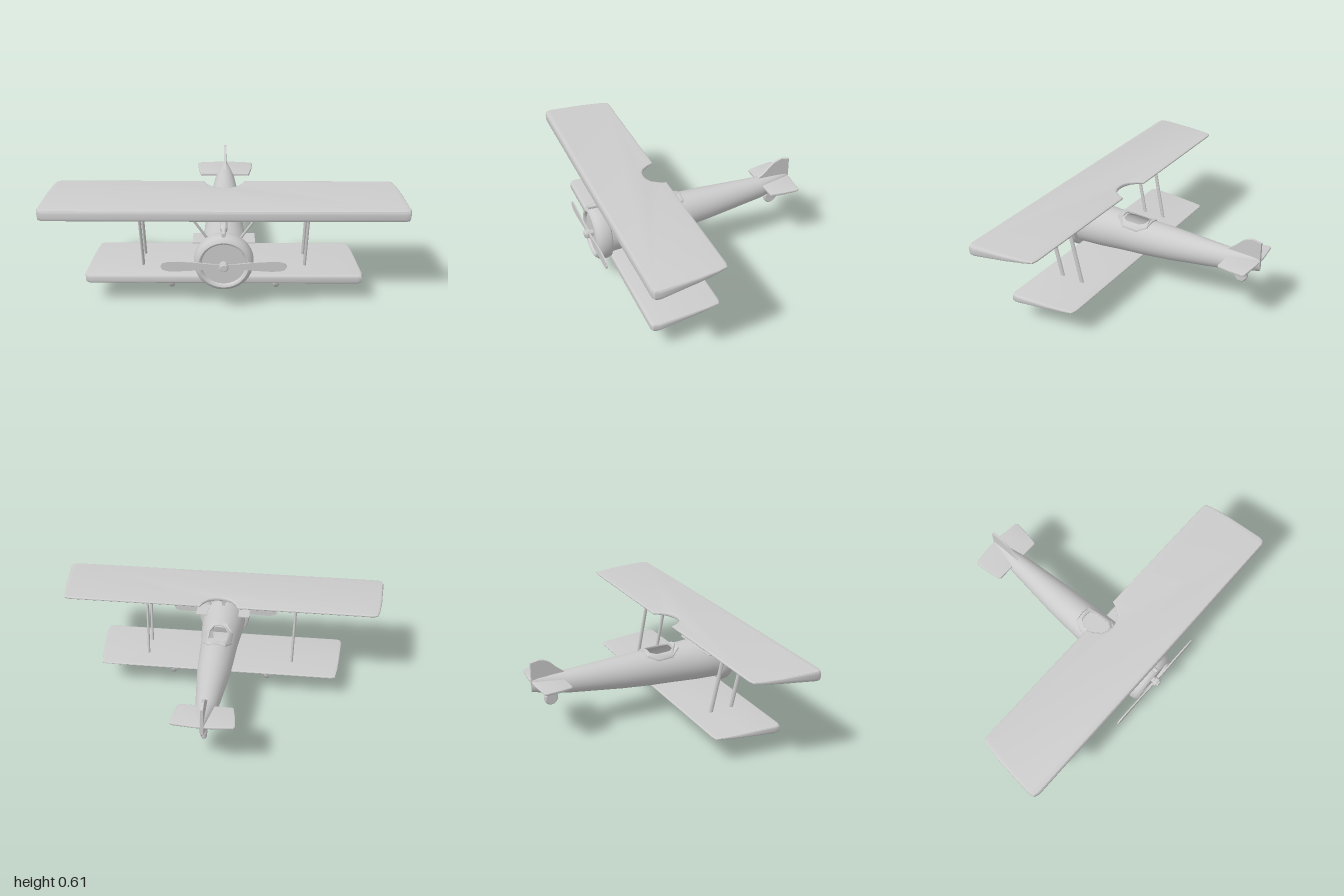
import * as THREE from 'three';
import { toCreasedNormals } from 'three/addons/utils/BufferGeometryUtils.js';

const grey = new THREE.MeshStandardMaterial({ color: 0xcccccc });
const greyDouble = new THREE.MeshStandardMaterial({ color: 0xcccccc, side: THREE.DoubleSide });

// Fuselage stations: z, half width, top y, bottom y
const stations = [
  [0.54, 0.138, 0.432, 0.165], [0.4, 0.13, 0.43, 0.172], [0.24, 0.115, 0.425, 0.187],
  [0.085, 0.108, 0.422, 0.2], [-0.1, 0.098, 0.42, 0.222], [-0.46, 0.062, 0.41, 0.274],
  [-0.66, 0.012, 0.405, 0.32],
];

// Height of the fuselage's upper skin at x, z
function skinY(x, z) {
  let i = 0;
  while (i < stations.length - 2 && stations[i + 1][0] > z) i++;
  const [a, b] = [stations[i], stations[i + 1]];
  const t = (a[0] - z) / (a[0] - b[0]);
  const [, w, top, bottom] = a.map((v, k) => v + (b[k] - v) * t);
  const s = Math.sqrt(Math.max(0, 1 - (x / w) ** 2));
  return (top + bottom) / 2 + s * (top - bottom) / 2;
}

function fuselageGeometry() {
  const N = 32, pos = [], index = [];
  for (const [z, w, top, bottom] of stations) {
    for (let j = 0; j < N; j++) {
      const a = (j / N) * Math.PI * 2;
      pos.push(w * Math.sin(a), (top + bottom) / 2 + Math.cos(a) * (top - bottom) / 2, z);
    }
  }
  for (let i = 0; i < stations.length - 1; i++) {
    for (let j = 0; j < N; j++) {
      if (i === 2 && (j < 3 || j >= N - 3)) continue; // cockpit opening
      const k = (j + 1) % N, p = i * N, q = p + N;
      index.push(p + j, p + k, q + j, p + k, q + k, q + j);
    }
  }
  // tail end cap
  const last = (stations.length - 1) * N;
  for (let j = 1; j < N - 1; j++) index.push(last, last + j, last + j + 1);
  const g = new THREE.BufferGeometry();
  g.setAttribute('position', new THREE.Float32BufferAttribute(pos, 3));
  g.setIndex(index);
  g.computeVertexNormals();
  return g;
}

// Mirror a half outline of [x, z] points into a full plan shape
function planShape(half) {
  const other = half.filter(p => p[0] > 0).map(([x, z]) => [-x, z]).reverse();
  return new THREE.Shape([...half, ...other].map(([x, z]) => new THREE.Vector2(x, -z)));
}

// Plate with a plan outline whose top and bottom heights follow z (and x)
function plate(shape, top, bottom, bevel) {
  const g = new THREE.ExtrudeGeometry(shape, {
    depth: 0.4, bevelEnabled: true, bevelThickness: 0.3, bevelSize: bevel, bevelOffset: -bevel, bevelSegments: 3,
  });
  g.rotateX(-Math.PI / 2);
  const p = g.attributes.position;
  for (let i = 0; i < p.count; i++) {
    const x = p.getX(i), z = p.getZ(i), b = bottom(x, z);
    p.setY(i, b + (top(x, z) - b) * (p.getY(i) + 0.3));
  }
  return toCreasedNormals(g, 0.6);
}

// Straight rod between two points, flattened across x when thin < 1
function rod(a, b, r, thin = 1) {
  const from = new THREE.Vector3(...a), to = new THREE.Vector3(...b);
  const dir = to.clone().sub(from);
  const g = new THREE.CylinderGeometry(r, r, dir.length(), 12);
  g.scale(thin, 1, 1);
  g.applyQuaternion(new THREE.Quaternion().setFromUnitVectors(new THREE.Vector3(0, 1, 0), dir.normalize()));
  const mid = from.add(to).multiplyScalar(0.5);
  return g.translate(mid.x, mid.y, mid.z);
}

function lathe(points, segments = 40) {
  return toCreasedNormals(new THREE.LatheGeometry(points.map(p => new THREE.Vector2(...p)), segments), 0.7);
}

export function createModel() {
  const model = new THREE.Group();
  const add = (name, geometry, material = grey) => {
    const mesh = new THREE.Mesh(geometry, material);
    mesh.name = name;
    model.add(mesh);
    return mesh;
  };

  // Body and engine cowl
  add('fuselage', fuselageGeometry(), greyDouble);
  add('engineCowl', lathe([[0, 0.535], [0.145, 0.535], [0.157, 0.542], [0.163, 0.56], [0.163, 0.59], [0.158, 0.61],
    [0.147, 0.624], [0.135, 0.63], [0.125, 0.625], [0.12, 0.612], [0, 0.612]], 48).rotateX(Math.PI / 2).translate(0, 0.298, 0));

  // Cockpit rim and floor
  const rim = planShape([[0, 0.285], [0.045, 0.28], [0.085, 0.22], [0.085, 0.12], [0.055, 0.062], [0, 0.058]]);
  rim.holes.push(planShape([[0, 0.252], [0.03, 0.248], [0.055, 0.21], [0.055, 0.125], [0.035, 0.088], [0, 0.086]]));
  add('cockpitRim', plate(rim, (x, z) => skinY(x, z) + 0.01, (x, z) => skinY(x, z) - 0.006, 0.003));
  add('cockpitFloor', new THREE.BoxGeometry(0.19, 0.01, 0.22).translate(0, 0.31, 0.165));

  // Wings, the upper one notched above the cockpit
  add('upperWing', plate(
    planShape([[0, 0.287], [0.035, 0.283], [0.07, 0.265], [0.1, 0.225], [0.114, 0.19], [0.92, 0.19], [0.95, 0.198],
      [0.965, 0.25], [0.982, 0.36], [1, 0.57], [0.992, 0.597], [0.965, 0.608], [0, 0.61]]),
    () => 0.61, (x, z) => 0.545 + (0.61 - z) * 0.122, 0.012));
  add('lowerWing', plate(
    planShape([[0, 0.125], [0.705, 0.125], [0.732, 0.135], [0.745, 0.2], [0.757, 0.3], [0.775, 0.5], [0.768, 0.53],
      [0.745, 0.54], [0, 0.54]]),
    (x, z) => 0.185 - (0.54 - z) * 0.012, (x, z) => 0.133 + (0.54 - z) * 0.085, 0.012));

  // Tail surfaces
  add('tailplane', plate(
    planShape([[0, -0.66], [0.05, -0.66], [0.172, -0.647], [0.18, -0.635], [0.172, -0.55], [0.158, -0.475], [0.15, -0.468], [0, -0.468]]),
    (x, z) => 0.38 - (z + 0.468) * 0.035, (x, z) => 0.362 - (z + 0.468) * 0.06, 0.004));
  const finShape = new THREE.Shape();
  finShape.moveTo(-0.46, 0.4);
  finShape.lineTo(-0.46, 0.412);
  finShape.quadraticCurveTo(-0.495, 0.435, -0.53, 0.472);
  finShape.quadraticCurveTo(-0.56, 0.505, -0.61, 0.514);
  finShape.lineTo(-0.662, 0.505);
  finShape.lineTo(-0.662, 0.33);
  finShape.lineTo(-0.64, 0.33);
  const fin = new THREE.ExtrudeGeometry(finShape, { depth: 0.016, bevelEnabled: false, curveSegments: 8 });
  add('tailFin', fin.translate(0, 0, -0.008).rotateY(-Math.PI / 2));

  // Propeller and hub
  const half = [[0, 0.012], [0.06, 0.013], [0.16, 0.024], [0.25, 0.03], [0.3, 0.029], [0.33, 0.02], [0.342, 0]];
  const lower = half.slice(1, -1).reverse().map(([x, y]) => [x, -y]);
  const side = [...half.slice(1), ...lower];
  const outline = [...side, ...side.map(([x, y]) => [-x, -y])];
  const blade = new THREE.ExtrudeGeometry(new THREE.Shape(outline.map(p => new THREE.Vector2(...p))),
    { depth: 0.008, bevelEnabled: false });
  add('propeller', blade.translate(0, 0.298, 0.634));
  add('propellerHub', lathe([[0, 0.605], [0.018, 0.605], [0.018, 0.63], [0.026, 0.632], [0.027, 0.652], [0.02, 0.656],
    [0.018, 0.665], [0, 0.665]], 20).rotateX(Math.PI / 2).translate(0, 0.298, 0));

  // Nose gun on its mount
  add('gun', lathe([[0, 0.46], [0.018, 0.462], [0.021, 0.475], [0.021, 0.55], [0.012, 0.567], [0.012, 0.63], [0, 0.63]], 20)
    .rotateX(Math.PI / 2).translate(0, 0.479, 0));
  add('gunMount', new THREE.BoxGeometry(0.018, 0.05, 0.05).translate(0, 0.445, 0.5));

  for (const s of [1, -1]) {
    // Struts between the wings
    add('frontWingStrut', rod([s * 0.465, 0.565, 0.478], [s * 0.457, 0.165, 0.4], 0.013, 0.6));
    add('rearWingStrut', rod([s * 0.465, 0.585, 0.342], [s * 0.457, 0.165, 0.262], 0.013, 0.6));
    add('cabaneStrut', rod([s * 0.182, 0.56, 0.552], [s * 0.08, 0.395, 0.523], 0.007));

    // Fairing panel beside the gun
    add('sideFairing', new THREE.BoxGeometry(0.07, 0.006, 0.115).translate(s * 0.135, 0.388, 0.478));

    // Main wheels with a raised rim, and their struts
    add('mainWheel', lathe([[0, -0.012], [0.046, -0.012], [0.05, -0.017], [0.06, -0.015], [0.065, -0.006], [0.065, 0.006],
      [0.06, 0.015], [0.05, 0.017], [0.046, 0.012], [0, 0.012]], 32).rotateZ(Math.PI / 2).translate(s * 0.303, 0.067, 0.327));
    add('gearStrut', rod([s * 0.25, 0.07, 0.327], [s * 0.06, 0.148, 0.327], 0.008));
  }
  add('axle', rod([-0.3, 0.067, 0.327], [0.3, 0.067, 0.327], 0.012));
  add('gearCrossbar', new THREE.BoxGeometry(0.18, 0.014, 0.04).translate(0, 0.145, 0.327));

  // Tail wheel
  add('tailWheel', lathe([[0, -0.014], [0.035, -0.014], [0.042, -0.007], [0.042, 0.007], [0.035, 0.014], [0, 0.014]], 28)
    .rotateZ(Math.PI / 2).translate(0, 0.257, -0.545));

  return model;
}
